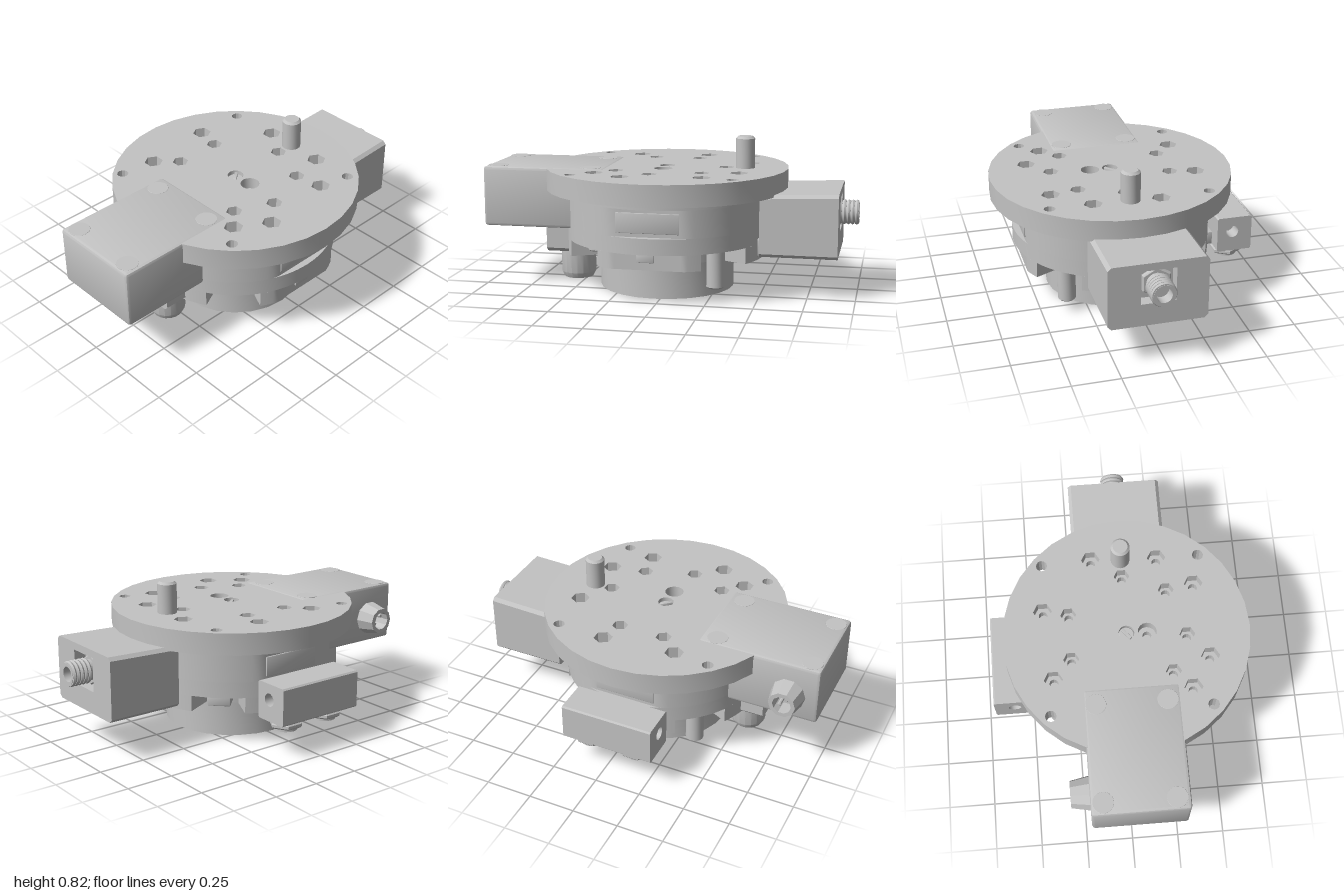
import * as THREE from 'three';
import { toCreasedNormals } from 'three/addons/utils/BufferGeometryUtils.js';
import { RoundedBoxGeometry } from 'three/addons/geometries/RoundedBoxGeometry.js';

const CX = 0.04, CZ = 0.035; // axis of the round parts

export function createModel() {
  const model = new THREE.Group();
  const grey = new THREE.MeshStandardMaterial({ color: 0xc3c3c3 });
  grey.name = 'machined grey';

  const add = (name, geo, x = 0, y = 0, z = 0) => {
    const mesh = new THREE.Mesh(toCreasedNormals(geo, 0.5), grey);
    mesh.name = name;
    mesh.position.set(x, y, z);
    model.add(mesh);
    return mesh;
  };
  const box = (name, x0, x1, y0, y1, z0, z1, r = 0.012) =>
    add(name, new RoundedBoxGeometry(x1 - x0, y1 - y0, z1 - z0, 1, r),
      (x0 + x1) / 2, (y0 + y1) / 2, (z0 + z1) / 2);
  const lathe = (pts, n = 20) => new THREE.LatheGeometry(pts.map(p => new THREE.Vector2(...p)), n);
  // solid round bar with chamfered ends
  const bar = (r, y0, y1, c = 0.012, n = 20) =>
    lathe([[0, y0], [r - c, y0], [r, y0 + c], [r, y1 - c], [r - c, y1], [0, y1]], n);
  // hollow ring of square section
  const ring = (ri, ro, y0, y1, n = 16) =>
    lathe([[ri, y1], [ri, y0], [ro, y0], [ro, y1], [ri, y1]], n);
  // outline given as radius by angle
  const polar = (fn, steps) => new THREE.Shape(Array.from({ length: steps }, (_, i) => {
    const a = i / steps * Math.PI * 2, r = fn(a);
    return new THREE.Vector2(Math.cos(a) * r, Math.sin(a) * r);
  }));
  const hole = (shape, x, y, r, n = 12) => shape.holes.push(new THREE.Path(
    Array.from({ length: n }, (_, i) => new THREE.Vector2(
      x + Math.cos(-i / n * Math.PI * 2) * r, y + Math.sin(-i / n * Math.PI * 2) * r))));
  const rect = (x0, x1, y0, y1, c) => new THREE.Shape([
    [x0 + c, y0], [x1 - c, y0], [x1, y0 + c], [x1, y1 - c],
    [x1 - c, y1], [x0 + c, y1], [x0, y1 - c], [x0, y0 + c]].map(p => new THREE.Vector2(...p)));
  const extrude = (shape, depth) => new THREE.ExtrudeGeometry(shape, { depth, bevelEnabled: false });
  const slab = (name, shape, y0, y1) =>
    add(name, extrude(shape, y1 - y0).rotateX(-Math.PI / 2), CX, y0, CZ);

  // Top plate with through holes and counterbored screw holes
  const plate = polar(() => 0.655, 32);
  for (const x of [-0.385, 0.46]) for (const z of [-0.385, 0.46]) hole(plate, x - CX, CZ - z, 0.03);
  const screws = [[-0.12, -0.4], [0.235, -0.385], [0.42, -0.22], [0.27, -0.195], [0.04, -0.29],
    [-0.395, -0.12], [-0.26, -0.09], [0.36, 0.065], [0.47, 0.195], [0.27, 0.265],
    [0.365, 0.36], [-0.26, 0.16], [-0.36, 0.265], [0.15, 0.035]];
  screws.forEach(([x, z], i) => {
    const r = [3, 4, 6, 7, 9, 11].includes(i) ? 0.042 : 0.05;
    hole(plate, x - CX, CZ - z, r, i === 13 ? 16 : 6);
    add('screwSocket', ring(0.024, r + 0.004, 0.535, 0.585, 12), x, 0, z);
  });
  hole(plate, 0, 0, 0.042, 16);
  slab('topPlate', plate, 0.535, 0.65);
  add('centreScrew', bar(0.042, 0.53, 0.63, 0.004), CX, 0, CZ);
  box('centreScrewBlade', CX - 0.008, CX + 0.008, 0.62, 0.645, CZ - 0.035, CZ + 0.035, 0.002)
    .rotation.y = 0.7;
  add('locatingPin', bar(0.051, 0.55, 0.82), CX, 0, -0.39);

  // Round housing in layers: side slots are flats, bottom has four corner pockets
  const R = 0.54, FLAT = 0.505;
  const flatted = a => Math.min(R, FLAT / Math.max(Math.abs(Math.cos(a)), 0.01));
  const pocketed = a => {
    const off = Math.abs((a % (Math.PI / 2)) - Math.PI / 4);
    return off < 0.25 ? 0.37 : flatted(a);
  };
  slab('housingTop', polar(() => R, 96), 0.5, 0.536);
  slab('housingSlotted', polar(flatted, 96), 0.355, 0.5);
  slab('housingBand', polar(() => R, 96), 0.27, 0.355);
  slab('housingFoot', polar(pocketed, 192), 0.185, 0.27);
  for (const s of [-1, 1]) {
    const x = CX + s * FLAT;
    box('slotCover', x - 0.006, x + 0.006, 0.375, 0.48, -0.13, 0.2, 0.003);
    box('sideLatch', x - 0.01, x + 0.01, 0.225, 0.27, 0.0, 0.09, 0.003);
  }

  // Hollow base ring
  add('baseRing', lathe([[0, 0.1], [0.065, 0.1], [0.065, 0.03], [0.19, 0.03], [0.2, 0.06],
    [0.29, 0.06], [0.32, 0], [0.365, 0], [0.365, 0.19], [0, 0.19]], 24), CX, 0, CZ);

  // Guide pins in two opposite pockets, a screw head and a clamp block in the others
  for (const [x, z] of [[0.36, -0.285], [-0.28, 0.355]])
    add('guidePin', bar(0.048, 0.065, 0.275, 0.008), x, 0, z);
  add('pocketScrew', bar(0.05, 0.235, 0.275, 0.006), 0.35, 0, 0.345);
  box('pocketClamp', -0.33, -0.21, 0.21, 0.275, -0.335, -0.215, 0.006).rotation.y = Math.PI / 4;

  // Front control box with lid screws and side socket
  box('frontBox', -0.215, 0.295, 0.33, 0.653, 0.33, 0.995, 0.016);
  for (const x of [-0.15, 0.225]) for (const z of [0.415, 0.93])
    add('lidScrew', bar(0.055, 0.645, 0.6545, 0.001), x, 0, z);
  const socket = add('sideSocket', lathe([[0.095, 0], [0.072, 0.115], [0.05, 0.115],
    [0.05, 0.03], [0, 0.03]], 10), -0.2, 0.47, 0.835);
  socket.rotation.z = Math.PI / 2;
  for (const s of [-1, 1])
    add('socketContact', bar(0.01, 0.02, 0.09, 0.002, 8), -0.2, 0.47 + s * 0.02, 0.835 + s * 0.02)
      .rotation.z = Math.PI / 2;
  const lug = rect(-0.12, 0.2, 0.18, 0.335, 0.02);
  add('frontLug', extrude(lug, 0.23), 0, 0, 0.445);
  add('frontPlunger', lathe([[0, 0.04], [0.055, 0.04], [0.06, 0.015], [0.08, 0.015],
    [0.095, 0.045], [0.095, 0.2], [0, 0.2]], 18), CX, 0, 0.54);

  // Back box: solid front, rear wall with a square window, top rising to the rear
  const slope = g => {
    const p = g.attributes.position;
    for (let i = 0; i < p.count; i++)
      if (p.getY(i) > 0.53) p.setY(i, p.getY(i) - 0.015 * (p.getZ(i) + 0.905) / 0.4);
    return g;
  };
  const wall = rect(-0.215, 0.295, 0.22, 0.56, 0.018);
  add('backBox', slope(extrude(wall, 0.34).translate(0, 0, -0.84)));
  const windowed = rect(-0.215, 0.295, 0.22, 0.56, 0.018);
  windowed.holes.push(new THREE.Path([[-0.05, 0.34], [-0.05, 0.52], [0.13, 0.52], [0.13, 0.34]]
    .map(p => new THREE.Vector2(...p))));
  add('backBoxRearWall', slope(extrude(windowed, 0.065).translate(0, 0, -0.905)));
  box('backBracket', -0.12, 0.2, 0.2, 0.3, -0.54, -0.4);
  for (const x of [-0.14, 0.22]) for (const z of [-0.58, -0.83])
    add('backBoxScrew', ring(0.015, 0.03, 0.217, 0.225, 12), x, 0, z);
  for (let i = 0; i < 4; i++) for (const z of [-0.68, -0.73])
    add('contactPin', bar(0.01, 0.212, 0.23, 0.003, 8), -0.02 + i * 0.04, 0, z);

  // Threaded connector on the back box
  add('connectorCore', lathe([[0.055, 0], [0.055, 0.16], [0.04, 0.16], [0.04, 0.1], [0, 0.1]], 16),
    CX, 0.43, -0.84).rotation.x = -Math.PI / 2;
  add('connectorNut', bar(0.082, 0, 0.03, 0.006, 6), CX, 0.43, -0.84).rotation.x = -Math.PI / 2;
  for (let i = 0; i < 5; i++)
    add('connectorThread', new THREE.TorusGeometry(0.056, 0.011, 6, 20), CX, 0.43, -0.9 - i * 0.022);

  // Side valve block bored from both ends, with a bracket and two glands beneath
  const block = rect(-0.7, -0.505, 0.185, 0.385, 0.008);
  add('valveBlockCore', extrude(block, 0.34), 0, 0, -0.13);
  const bored = rect(-0.7, -0.505, 0.185, 0.385, 0.008);
  hole(bored, -0.59, 0.3, 0.035, 14);
  for (const z of [-0.21, 0.21]) add('valveBlockEnd', extrude(bored, 0.08), 0, 0, z);
  box('valveBracket', -0.52, -0.4, 0.19, 0.265, -0.12, 0.19, 0.006);
  for (const z of [-0.1, 0.16]) {
    add('glandNut', bar(0.088, 0.14, 0.17, 0.008, 6), -0.59, 0, z);
    add('glandCollar', bar(0.07, 0.165, 0.19, 0.004), -0.59, 0, z);
    add('glandLip', ring(0.035, 0.062, 0.125, 0.145), -0.59, 0, z);
    add('glandStud', bar(0.034, 0.112, 0.15, 0.006, 12), -0.59, 0, z);
  }
  return model;
}
